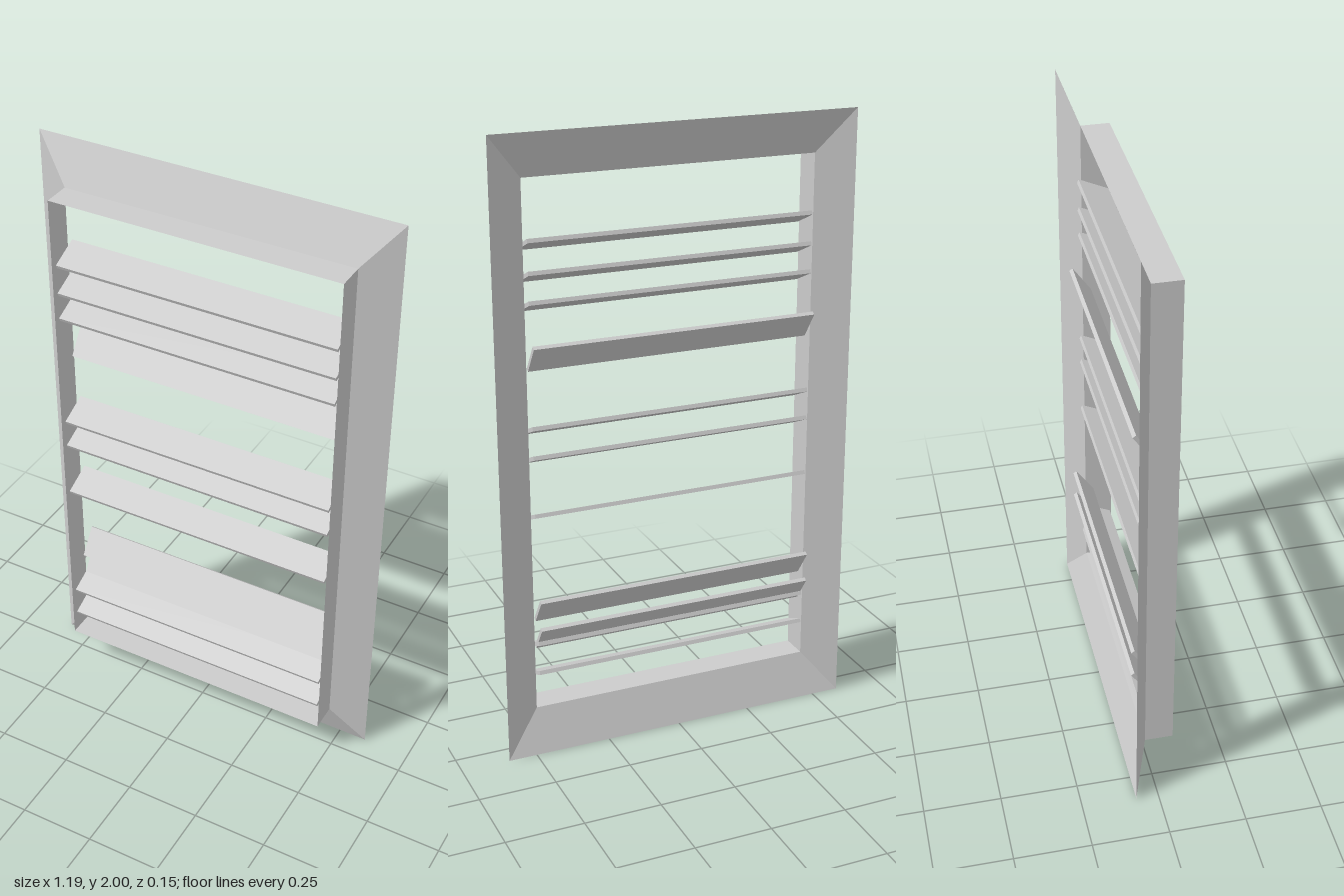
import * as THREE from 'three';

const grey = new THREE.MeshStandardMaterial({ color: 0xcccccc, flatShading: true, side: THREE.DoubleSide });

// Corners of a rectangle around the middle of the frame, counter-clockwise seen from the front
function ring(halfW, halfH, z) {
  return [[1, 1], [-1, 1], [-1, -1], [1, -1]].map(([sx, sy]) => [sx * halfW, 1 + sy * halfH, z]);
}

// Thin four-sided band joining a back ring to a front ring, facing outward
function band(name, back, front) {
  const pos = [];
  for (let i = 0; i < 4; i++) {
    const j = (i + 1) % 4;
    pos.push(...back[i], ...back[j], ...front[j], ...back[i], ...front[j], ...front[i]);
  }
  const geo = new THREE.BufferGeometry();
  geo.setAttribute('position', new THREE.Float32BufferAttribute(pos, 3));
  geo.computeVertexNormals();
  const mesh = new THREE.Mesh(geo, grey);
  mesh.name = name;
  return mesh;
}

export function createModel() {
  const group = new THREE.Group();
  group.name = 'louvreVent';

  // Frame: flared flange at the back, straight collar at the front
  const outer = ring(0.593, 1, -0.073);
  const throat = ring(0.478, 0.86, -0.019);
  const lip = ring(0.478, 0.86, 0.073);
  group.add(band('flaredFlange', outer, throat), band('collar', throat, lip));

  // Slats: front edge low, back edge high
  const slatGeo = new THREE.BoxGeometry(0.936, 0.013, 0.104);
  const addSlats = (name, heights, z, degrees) => heights.forEach((y) => {
    const slat = new THREE.Mesh(slatGeo, grey);
    slat.name = name;
    slat.position.set(0, y, z);
    slat.rotation.x = THREE.MathUtils.degToRad(degrees);
    group.add(slat);
  });
  addSlats('slat', [1.655, 1.557, 1.467, 1.074, 0.979, 0.788, 0.35, 0.247], 0.016, 24);

  // Slats that have slipped to a steeper angle
  addSlats('steepSlat', [1.316, 0.486, 0.391], -0.029, 55);

  return group;
}
